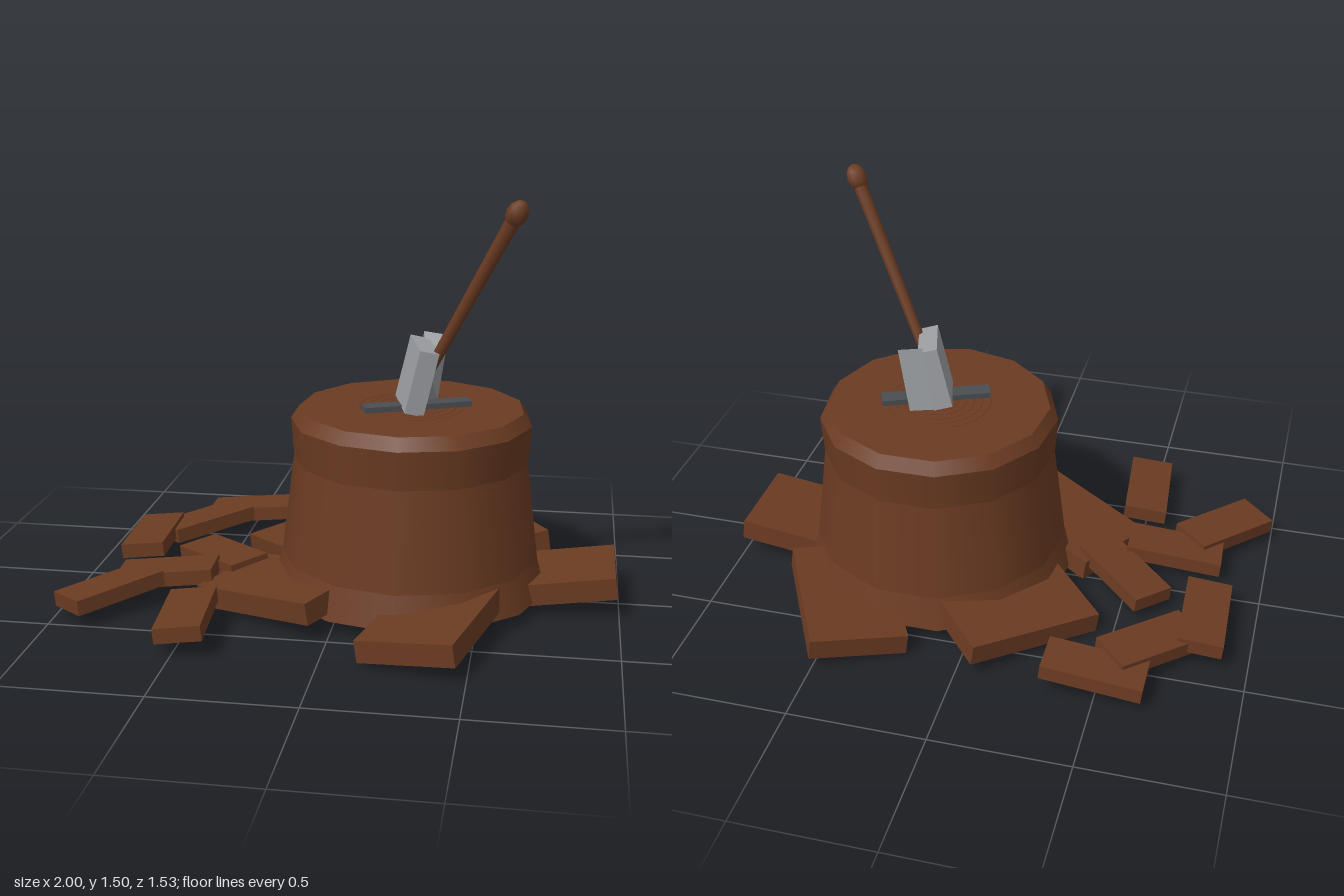
import * as THREE from 'three';

export function createModel() {
  const model = new THREE.Group();
  const mat = (name, color, flatShading = false) => {
    const m = new THREE.MeshStandardMaterial({ color, flatShading });
    m.name = name;
    return m;
  };
  const wood = mat('brown wood', 0x6b3b22);
  const steel = mat('light steel', 0x9c9fa3);
  const iron = mat('dark iron', 0x4a4d52);

  const add = (name, geometry, material, x, y, z, parent = model) => {
    const mesh = new THREE.Mesh(geometry, material);
    mesh.name = name;
    mesh.position.set(x, y, z);
    parent.add(mesh);
    return mesh;
  };

  // Stump: separate bands keep the edges between them crisp
  const stump = new THREE.Group();
  stump.name = 'stump';
  stump.position.set(0.23, 0, -0.015);
  model.add(stump);
  const bands = [
    ['stumpBase', [[0, 0.05], [0.51, 0.05]]],
    ['stumpFlare', [[0.51, 0.05], [0.475, 0.17]]],
    ['stumpTrunk', [[0.475, 0.17], [0.43, 0.53]]],
    ['stumpCollar', [[0.43, 0.53], [0.44, 0.67]]],
    ['stumpBevel', [[0.44, 0.67], [0.41, 0.715]]],
    ['stumpTop', [[0.41, 0.715], [0, 0.715]]],
  ];
  for (const [name, pts] of bands) {
    const profile = pts.map(p => new THREE.Vector2(...p));
    add(name, new THREE.LatheGeometry(profile, 13), wood, 0, 0, 0, stump);
  }

  // Growth rings, just proud of the cut top
  for (let i = 0; i < 5; i++) {
    const ring = add('growthRing', new THREE.TorusGeometry(0.07 + i * 0.03, 0.003, 4, 20), wood, 0, 0.714, 0, stump);
    ring.rotation.x = Math.PI / 2;
  }

  // Slabs turn about y first, then all tip up toward +x
  const slab = (name, size, x, y, z, yaw, tilt) => {
    const mesh = add(name, new THREE.BoxGeometry(...size), wood, x, y, z);
    mesh.rotation.set(0, THREE.MathUtils.degToRad(yaw), tilt, 'ZYX');
  };

  // Roots around the stump
  for (const deg of [0, 62, 137, 210, 285]) {
    const a = THREE.MathUtils.degToRad(deg);
    slab('root', [0.52, 0.08, 0.35], 0.23 + 0.5 * Math.cos(a), 0.085, -0.015 - 0.5 * Math.sin(a), -deg, 0.14);
  }

  // Scattered split planks: x, z, yaw
  const planks = [
    [-0.49, -0.61, 0], [-0.655, -0.425, 45], [-0.82, -0.23, -88], [-0.49, -0.04, -43],
    [-0.655, 0.15, 3], [-0.82, 0.34, 49], [-0.487, 0.53, -85],
  ];
  for (const [x, z, yaw] of planks) slab('plank', [0.36, 0.055, 0.165], x, 0.085, z, yaw, 0.1);

  // Axe stuck in the stump
  const axe = new THREE.Group();
  axe.name = 'axe';
  model.add(axe);

  const bar = add('ironBar', new THREE.BoxGeometry(0.4, 0.025, 0.065), iron, 0.25, 0.723, 0.005, axe);
  bar.rotation.y = 0.41;

  const head = add('axeHead', new THREE.BoxGeometry(0.07, 0.235, 0.215), steel, 0.25, 0.838, 0.012, axe);
  head.rotation.set(0, 0.28, -0.23, 'ZYX');

  // Blade: flattened pyramid, its base facing back
  const bladeGeo = new THREE.ConeGeometry(0.177, 0.14, 4, 1).toNonIndexed();
  bladeGeo.rotateY(Math.PI / 4);
  bladeGeo.rotateX(Math.PI / 2);
  bladeGeo.scale(0.36, 1, 1);
  bladeGeo.computeVertexNormals();
  const blade = add('axeBlade', bladeGeo, steel, 0.295, 0.845, -0.038, axe);
  blade.rotation.set(0, 0.1, -0.15, 'ZYX');

  // Handle and end knob
  const from = new THREE.Vector3(0.28, 0.83, 0.04);
  const to = new THREE.Vector3(0.6, 1.455, 0.238);
  const dir = to.clone().sub(from);
  const mid = from.clone().add(to).multiplyScalar(0.5);
  const handle = add('axeHandle', new THREE.CylinderGeometry(0.026, 0.019, dir.length(), 8), wood, mid.x, mid.y, mid.z, axe);
  const turn = new THREE.Quaternion().setFromUnitVectors(new THREE.Vector3(0, 1, 0), dir.normalize());
  handle.quaternion.copy(turn);
  const knob = add('handleKnob', new THREE.SphereGeometry(0.038, 8, 6), wood, to.x, to.y, to.z, axe);
  knob.scale.y = 1.35;
  knob.quaternion.copy(turn);

  return model;
}
